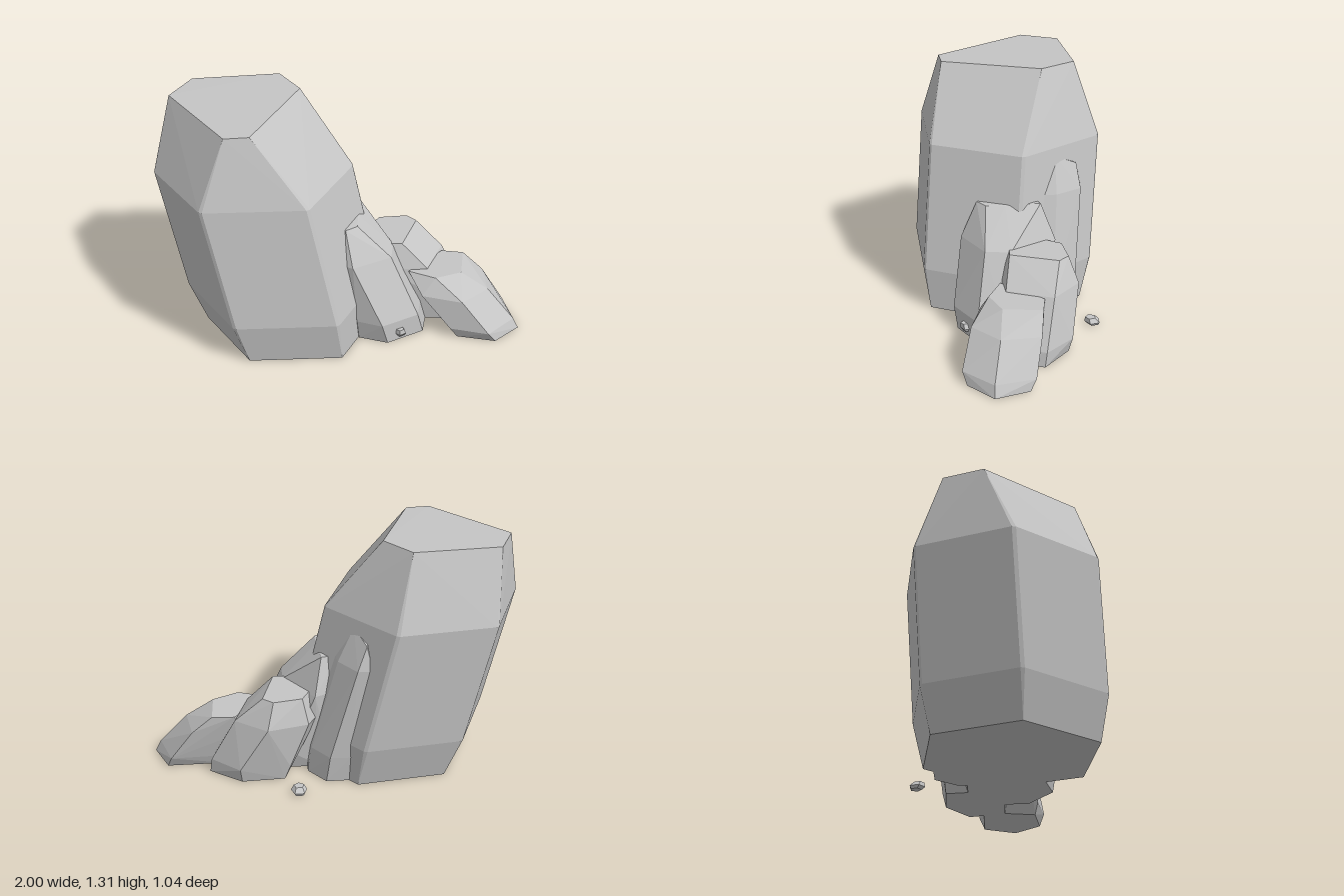
import * as THREE from 'three';
import { ConvexGeometry } from 'three/addons/geometries/ConvexGeometry.js';

const stone = new THREE.MeshStandardMaterial({ color: 0xc5c5c5, flatShading: true });
stone.name = 'grey stone';

// A faceted rock: the hull of level rings, each { y, p: [[x, z, extra y], ...], bevel }
function rock(name, rings) {
  const points = [];
  for (const { y, p, bevel = 0 } of rings) {
    p.forEach(([x, z, dy = 0], i) => {
      const corner = new THREE.Vector3(x, y + dy, z);
      if (!bevel) { points.push(corner); return; }
      // cut the corner into two points, one along each side
      for (const step of [1, p.length - 1]) {
        const [nx, nz] = p[(i + step) % p.length];
        const dir = new THREE.Vector3(nx - x, 0, nz - z).normalize();
        points.push(corner.clone().addScaledVector(dir, bevel));
      }
    });
  }
  const mesh = new THREE.Mesh(new ConvexGeometry(points), stone);
  mesh.name = name;
  return mesh;
}

// A tiny five-sided stone, its top pushed towards the front
function pebble(name, x, y, z, r, h) {
  const ring = (s, shift) => Array.from({ length: 5 }, (_, i) => {
    const a = (i / 5) * Math.PI * 2 + 0.3;
    return [x + Math.cos(a) * r * s, z + Math.sin(a) * r * s + shift];
  });
  return rock(name, [
    { y, p: ring(0.7, -r * 0.1) },
    { y: y + h * 0.4, p: ring(1, 0) },
    { y: y + h, p: ring(0.65, r * 0.25) },
  ]);
}

export function createModel() {
  const group = new THREE.Group();
  group.name = 'rock cluster';

  // Tall leaning boulder: one hexagon, shifted and scaled up its height
  const hex = [[-1, 0.05], [-0.68, 0.48], [-0.13, 0.41], [0.065, -0.1], [-0.27, -0.52], [-0.8, -0.45]];
  const low = hex.map(([x, z]) => [x + 0.155, z + 0.04]);
  const base = low.map(([x, z]) => [(x + 0.31) * 0.9 - 0.26, z * 0.9 + 0.01]);
  group.add(rock('main boulder', [
    { y: 0, p: base },
    { y: 0.23, p: low, bevel: 0.012 },
    { y: 0.91, p: hex, bevel: 0.012 },
    { y: 1.285, p: [[-0.92, -0.1, 0.003], [-0.83, -0.31, 0.008], [-0.36, -0.38, 0.022],
      [-0.23, -0.2, 0.022], [-0.43, 0.35], [-0.56, 0.37, -0.003]] },
  ]));

  // Slab leaning on the back right of the boulder
  group.add(rock('back slab', [
    { y: 0, p: [[-0.05, -0.37], [0.08, -0.37], [0.17, -0.25], [0.17, -0.15], [-0.1, -0.15]] },
    { y: 0.15, p: [[-0.05, -0.39], [0.06, -0.385], [0.15, -0.26], [0.16, -0.16]] },
    { y: 0.67, p: [[-0.16, -0.415], [-0.08, -0.415], [0.01, -0.28], [0.02, -0.19], [-0.2, -0.2]] },
    { y: 0.86, p: [[-0.075, -0.27], [-0.13, -0.39, -0.06], [-0.16, -0.28, -0.02]] },
  ]));

  // Upright rock in front of the right side
  group.add(rock('front rock', [
    { y: 0, p: [[0.12, 0.22], [0.28, 0.26], [0.47, 0.13], [0.48, 0], [0.3, -0.2], [0.1, -0.2], [0.08, 0.1]] },
    { y: 0.12, p: [[0.11, 0.24], [0.25, 0.28], [0.44, 0.15], [0.45, 0], [0.27, -0.24], [0.05, -0.2], [0.05, 0.1]] },
    { y: 0.46, p: [[0.045, 0.22], [0.085, 0.24], [0.285, 0.11], [0.29, -0.03], [0.13, -0.27], [0, -0.2], [0, 0.1]] },
    { y: 0.645, p: [[0.04, 0.155], [0.1, 0.105], [0.105, 0], [0.09, -0.19, 0.01], [0, -0.15], [0.01, 0.1]] },
  ]));

  // Middle rock of the descending row
  group.add(rock('middle rock', [
    { y: 0, p: [[0.7, -0.2], [0.64, 0], [0.53, -0.33], [0.3, -0.32], [0.25, 0]] },
    { y: 0.08, p: [[0.69, -0.21], [0.62, 0.01], [0.54, -0.35], [0.27, -0.33]] },
    { y: 0.33, p: [[0.56, -0.25], [0.48, 0], [0.39, -0.385], [0.17, -0.33], [0.1, -0.2], [0.28, 0.03]] },
    { y: 0.47, p: [[0.41, -0.28], [0.355, -0.33], [0.2, -0.3], [0.15, -0.2], [0.28, -0.02], [0.34, -0.02]] },
  ]));

  // Lowest rock at the far right
  group.add(rock('outer rock', [
    { y: 0, p: [[0.66, 0.17], [0.87, 0.2], [1, 0.06], [0.93, -0.12], [0.62, -0.12]] },
    { y: 0.06, p: [[0.62, 0.185], [0.83, 0.225], [0.97, 0.06], [0.91, -0.15], [0.58, -0.14]] },
    { y: 0.23, p: [[0.46, 0.13], [0.68, 0.18], [0.82, 0.03], [0.79, -0.18], [0.5, -0.18]] },
    { y: 0.325, p: [[0.38, 0.03], [0.53, 0.09], [0.67, 0.02], [0.68, -0.19], [0.56, -0.2]] },
  ]));

  // Loose pebbles
  group.add(pebble('back pebble', 0.235, 0, -0.475, 0.045, 0.04));
  group.add(pebble('front pebble', 0.345, 0.025, 0.21, 0.036, 0.045));
  return group;
}
